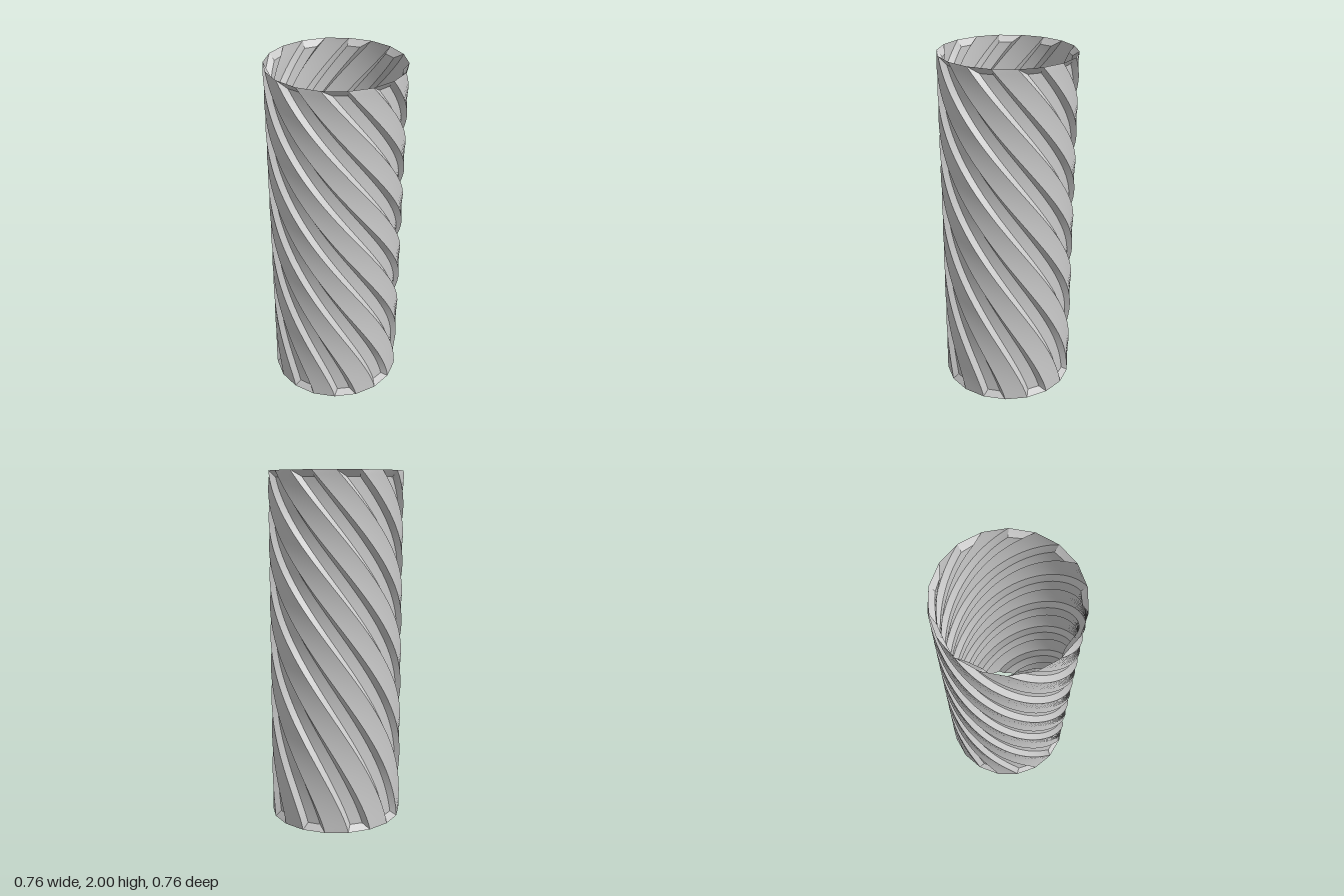
import * as THREE from 'three';

const HEIGHT = 2, RIM = 0.38, FLOOR = 0.35, BEVEL = 0.036;
const GROOVES = 9, ROWS = 72;
const rad = THREE.MathUtils.degToRad;

// Rotation of the profile at a height: gentle near the base, quicker above
const twist = y => rad(210) * Math.pow(y / HEIGHT, 1.25);

// Point on the twisted wall; groove floors stop short of both ends
function wallPoint(deg, onFloor, t) {
  const r = onFloor ? FLOOR : RIM;
  const y = onFloor ? BEVEL + (HEIGHT - 2 * BEVEL) * t : HEIGHT * t;
  const a = rad(deg) - twist(y);
  return [r * Math.sin(a), y, r * Math.cos(a)];
}

// Smooth strip between two columns of points
function strip(left, right) {
  const pos = [], index = [];
  left.forEach((p, i) => {
    pos.push(...p, ...right[i]);
    if (i) {
      const k = 2 * i;
      index.push(k - 2, k - 1, k + 1, k - 2, k + 1, k);
    }
  });
  const g = new THREE.BufferGeometry();
  g.setAttribute('position', new THREE.Float32BufferAttribute(pos, 3));
  g.setIndex(index);
  g.computeVertexNormals();
  return g;
}

const column = (deg, onFloor) =>
  Array.from({ length: ROWS + 1 }, (_, i) => wallPoint(deg, onFloor, i / ROWS));

export function createModel() {
  const model = new THREE.Group();
  model.name = 'twistedTube';
  const material = new THREE.MeshStandardMaterial({ color: 0xcccccc, side: THREE.DoubleSide });
  const add = (parent, name, geometry) => {
    const mesh = new THREE.Mesh(geometry, material);
    mesh.name = name;
    parent.add(mesh);
  };

  for (let i = 0; i < GROOVES; i++) {
    const c = 20 + (360 / GROOVES) * i;
    const outerL = column(c - 10, false), outerR = column(c + 10, false);
    const floorL = column(c - 6, true), floorR = column(c + 6, true);
    const nextL = column(c + 30, false);

    // Groove: two sloped sides, a floor and a bevel at each end
    const groove = new THREE.Group();
    groove.name = 'groove';
    add(groove, 'grooveSide', strip(outerL, floorL));
    add(groove, 'grooveFloor', strip(floorL, floorR));
    add(groove, 'grooveSide', strip(floorR, outerR));
    add(groove, 'bottomBevel', strip([outerL[0], floorL[0]], [outerR[0], floorR[0]]));
    add(groove, 'topBevel', strip([floorL[ROWS], outerL[ROWS]], [floorR[ROWS], outerR[ROWS]]));
    model.add(groove);

    // Raised band up to the next groove
    add(model, 'ridge', strip(outerR, nextL));
  }
  return model;
}
